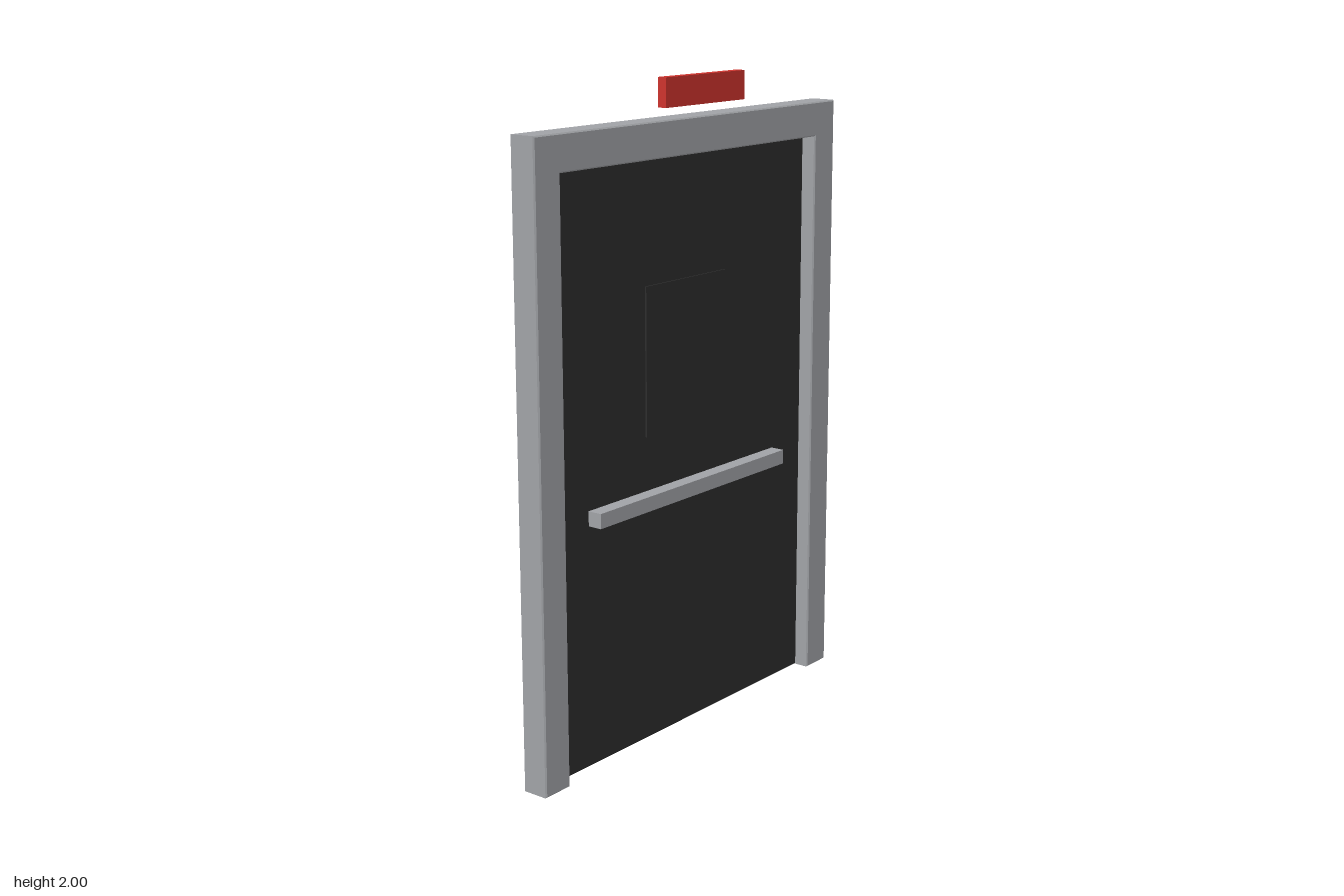
import * as THREE from 'three';

export function createModel() {
  const group = new THREE.Group();
  const material = (name, color) => {
    const m = new THREE.MeshStandardMaterial({ color });
    m.name = name;
    return m;
  };
  const steel = material('grey steel', 0xa0a2a6);
  const dark = material('dark panel', 0x2d2d2d);
  const red = material('sign red', 0xcc332d);

  const add = (name, geometry, mat) => {
    const mesh = new THREE.Mesh(geometry, mat);
    mesh.name = name;
    group.add(mesh);
    return mesh;
  };
  // Box given by its x and y ranges and half its width in z
  const slab = (name, mat, x0, x1, y0, y1, halfZ) => {
    const mesh = add(name, new THREE.BoxGeometry(x1 - x0, y1 - y0, halfZ * 2), mat);
    mesh.position.set((x0 + x1) / 2, (y0 + y1) / 2, 0);
  };

  // Door frame: two jambs and a lintel in one piece, edges slightly eased
  const back = -0.058, front = 0.028, ease = 0.004;
  const outline = new THREE.Shape([
    [-0.697, 0], [-0.594, 0], [-0.594, 1.77], [0.594, 1.77],
    [0.594, 0], [0.697, 0], [0.697, 1.877], [-0.697, 1.877],
  ].map(([x, y]) => new THREE.Vector2(x, y)));
  const frame = new THREE.ExtrudeGeometry(outline, {
    depth: front - back - 2 * ease, bevelEnabled: true, bevelSegments: 1,
    bevelSize: ease, bevelThickness: ease, bevelOffset: -ease,
  });
  frame.rotateY(Math.PI / 2);
  frame.translate(back + ease, 0, 0);
  add('doorFrame', frame, steel);

  // Door leaf, flush with the back of the frame and recessed at the front
  slab('doorLeaf', dark, back, -0.02, 0.002, 1.772, 0.596);
  // Thin raised window pane
  slab('windowPane', dark, -0.021, -0.015, 0.95, 1.4, 0.187);
  // Push bar
  slab('pushBar', steel, -0.021, 0.026, 0.74, 0.785, 0.445);
  // Sign above the door
  slab('exitSign', red, front, 0.058, 1.915, 2, 0.183);

  return group;
}
